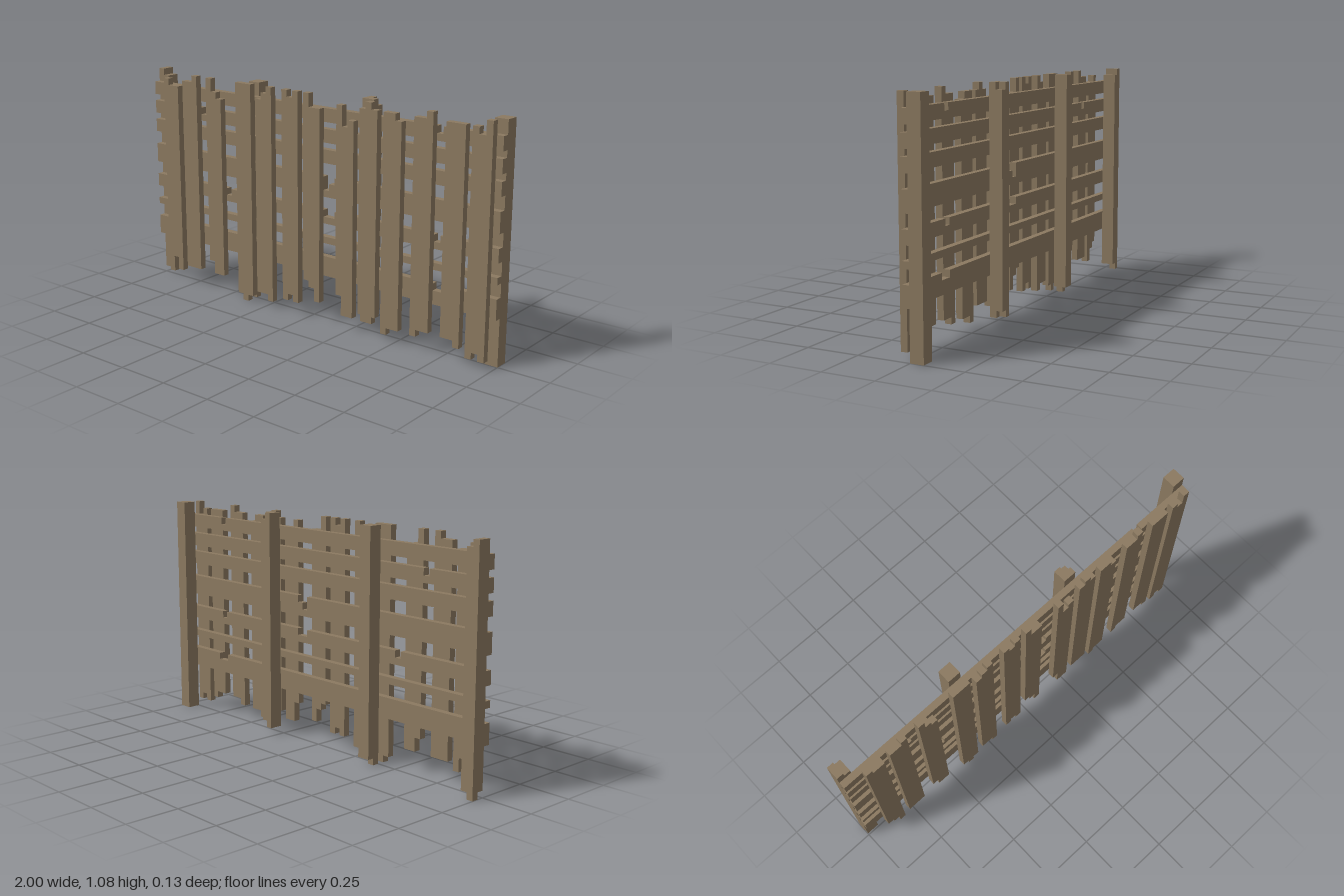
import * as THREE from 'three';

// One block unit; the fence is 63 blocks wide, 34 tall and 4 deep
const U = 2 / 63;
const wood = new THREE.MeshStandardMaterial({ color: 0x8b7960 });
wood.name = 'weathered wood';

// A board one block thick with stepped ends: top and bottom height per column
function board(name, col, tops, bottoms, layer) {
  const pts = [];
  const add = (x, y) => {
    const last = pts[pts.length - 1];
    if (!last || last.x !== x || last.y !== y) pts.push(new THREE.Vector2(x, y));
  };
  const n = tops.length;
  for (let i = 0; i < n; i++) { add(i, bottoms[i]); add(i + 1, bottoms[i]); }
  for (let i = n - 1; i >= 0; i--) { add(i + 1, tops[i]); add(i, tops[i]); }
  const geo = new THREE.ExtrudeGeometry(new THREE.Shape(pts), { depth: 1, bevelEnabled: false });
  geo.translate(col - 31.5, 0, layer);
  geo.scale(U, U, U);
  const mesh = new THREE.Mesh(geo, wood);
  mesh.name = name;
  return mesh;
}

export function createModel() {
  const fence = new THREE.Group();
  fence.name = 'fence';

  // Upright planks on the front: first column, tops, bottoms
  const planks = [
    [3, [33, 32, 32], [5, 4, 2]],
    [7, [33, 33, 34], [3, 3, 3]],
    [12, [34, 32, 31], [5, 3, 3]],
    [18, [34, 34, 34], [1, 0, 1]],
    [22, [32, 33, 34], [2, 2, 1]],
    [27, [34, 33, 34], [2, 3, 2]],
    [31, [34, 32, 32], [6, 5, 3]],
    [37, [33, 30, 31], [5, 2, 2]],
    [41, [33, 34, 33], [3, 3, 3]],
    [45, [33, 33, 32], [1, 2, 2]],
    [50, [33, 33, 34], [2, 3, 3]],
    [55, [33, 33, 33], [3, 3, 2]],
    [59, [33, 32, 34], [1, 2, 1]],
  ];
  planks.forEach(([col, tops, bottoms], i) =>
    fence.add(board(`plank${i + 1}`, col, tops, bottoms, 1)));

  // Full-width rails: bottom, top, and chipped columns with their lower top
  const rails = [
    [7, 10, { 53: 9, 54: 9 }],
    [12, 13, {}],
    [15, 17, { 15: 16, 34: 16, 35: 16, 53: 16 }],
    [19, 22, { 34: 20, 35: 21 }],
    [24, 26, {}],
    [27, 29, { 10: 28 }],
    [30, 32, { 53: 31 }],
  ];
  rails.forEach(([low, high, chips], i) => {
    const tops = Array.from({ length: 63 }, (_, c) => chips[c] ?? high);
    fence.add(board(`rail${i + 1}`, 0, tops, tops.map(() => low), 0));
  });

  // Posts behind the rails, two layers deep with worn ends
  const posts = [
    [0, [[34, 33], [1, 1]], [[34, 33], [0, 1]]],
    [19, [[34, 34], [0, 1]], [[34, 34], [1, 1]]],
    [40, [[34, 34], [1, 1]], [[34, 33], [1, 2]]],
    [61, [[34, 34], [0, 0]], [[34, 34], [0, 0]]],
  ];
  posts.forEach(([col, front, back], i) => {
    const post = new THREE.Group();
    post.name = `post${i + 1}`;
    post.add(board('postFront', col, ...front, -1), board('postBack', col, ...back, -2));
    fence.add(post);
  });

  return fence;
}
